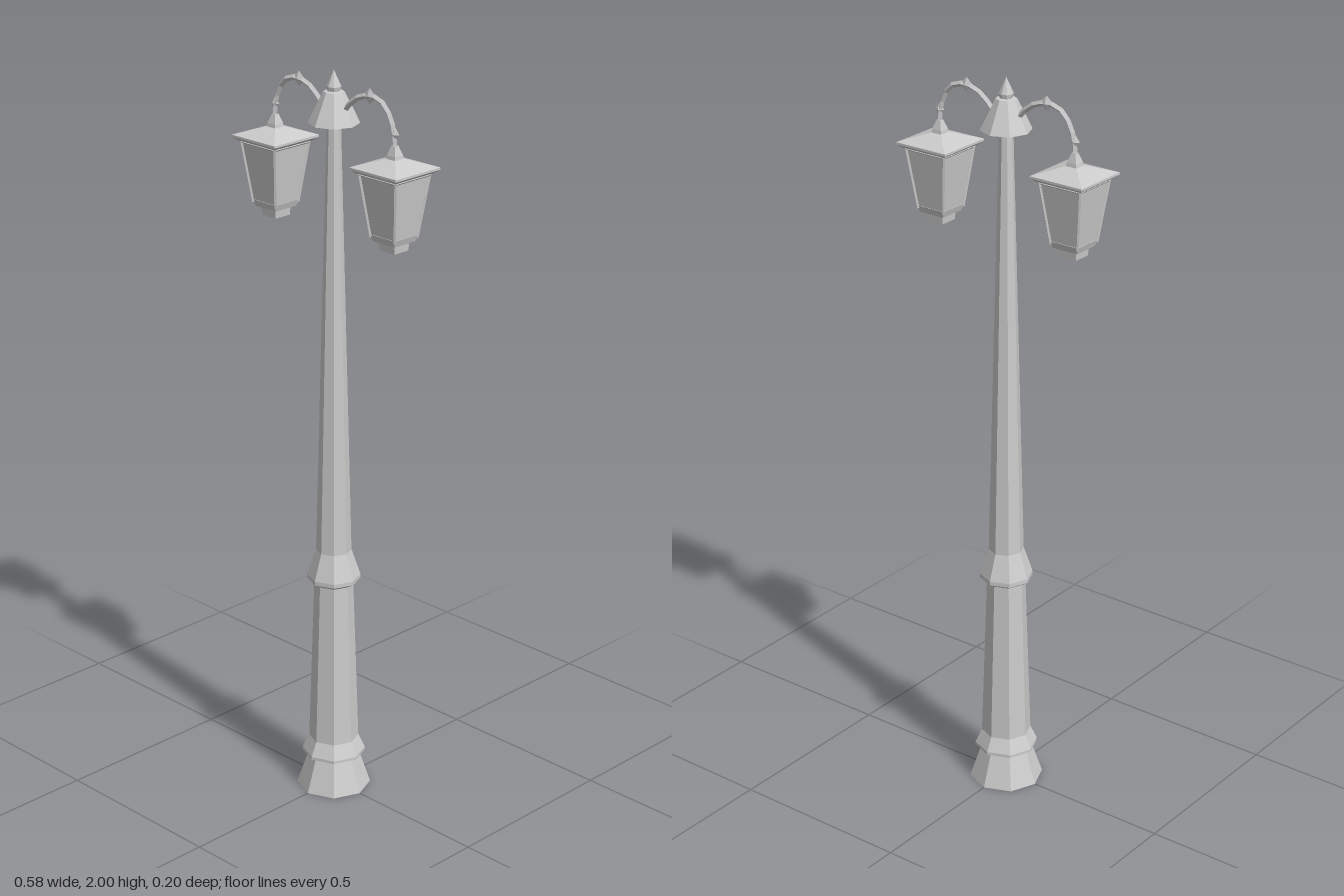
import * as THREE from 'three';

const metal = new THREE.MeshStandardMaterial({ color: 0xcccccc, flatShading: true, side: THREE.DoubleSide });

function add(parent, name, geometry) {
  const mesh = new THREE.Mesh(geometry, metal);
  mesh.name = name;
  parent.add(mesh);
  return mesh;
}

// Octagonal section from [radius, y] pairs, listed bottom to top
function octagonal(profile) {
  return new THREE.LatheGeometry(profile.map(([r, y]) => new THREE.Vector2(r, y)), 8);
}

// Square section from [half width, y] pairs, listed bottom to top
function square(profile) {
  const points = profile.map(([h, y]) => new THREE.Vector2(h * Math.SQRT2, y));
  return new THREE.LatheGeometry(points, 4, Math.PI / 4);
}

// Thin four-sided bar between two points
function bar(a, b, radius) {
  return new THREE.TubeGeometry(new THREE.LineCurve3(a, b), 1, radius, 4);
}

function createLantern() {
  const lantern = new THREE.Group();
  lantern.name = 'lantern';

  add(lantern, 'lanternFoot', square([[0, 1.58], [0.025, 1.58], [0.027, 1.605], [0.037, 1.608]]));
  add(lantern, 'lanternTray', square([[0, 1.604], [0.037, 1.604], [0.043, 1.622], [0, 1.622]]));
  add(lantern, 'glass', square([[0.041, 1.62], [0.061, 1.78]]));

  // Corner posts and the top and bottom rails of the glass
  const corners = [[1, 1], [1, -1], [-1, -1], [-1, 1]];
  const at = ([x, z], h, y) => new THREE.Vector3(x * h, y, z * h);
  corners.forEach((corner, i) => {
    const next = corners[(i + 1) % 4];
    add(lantern, 'cornerPost', bar(at(corner, 0.041, 1.615), at(corner, 0.062, 1.782), 0.004));
    add(lantern, 'topRail', bar(at(corner, 0.061, 1.775), at(next, 0.061, 1.775), 0.004));
  });

  // Pyramid roof with a thin eave and a socket for the arm
  add(lantern, 'roof', square([
    [0, 1.778], [0.067, 1.778], [0.079, 1.787], [0.079, 1.793], [0.016, 1.815], [0, 1.815],
  ]));
  add(lantern, 'socket', square([[0.016, 1.812], [0.014, 1.824], [0.006, 1.848], [0, 1.85]]));
  return lantern;
}

function createArm() {
  const arm = new THREE.Group();
  arm.name = 'arm';

  // Curved bracket from the cap to the lantern
  const path = new THREE.CatmullRomCurve3([
    [0.038, 1.905], [0.06, 1.927], [0.09, 1.948], [0.125, 1.956],
    [0.16, 1.952], [0.19, 1.925], [0.207, 1.885], [0.212, 1.84],
  ].map(([x, y]) => new THREE.Vector3(x, y, 0)));
  add(arm, 'bracket', new THREE.TubeGeometry(path, 9, 0.0075, 4));

  // Diamond knobs on the bracket
  const knob = add(arm, 'upperKnob', new THREE.OctahedronGeometry(1));
  knob.scale.set(0.022, 0.02, 0.009);
  knob.position.set(0.124, 1.956, 0);
  const lower = add(arm, 'lowerKnob', new THREE.OctahedronGeometry(1));
  lower.scale.set(0.015, 0.019, 0.009);
  lower.position.set(0.211, 1.876, 0);

  const lantern = createLantern();
  lantern.position.x = 0.211;
  arm.add(lantern);
  return arm;
}

export function createModel() {
  const model = new THREE.Group();
  model.name = 'streetLamp';

  add(model, 'base', octagonal([
    [0, 0], [0.1, 0], [0.07, 0.09], [0.085, 0.098], [0.085, 0.106], [0.067, 0.145],
  ]));
  add(model, 'lowerColumn', octagonal([[0.067, 0.145], [0.052, 0.605]]));
  add(model, 'collar', octagonal([
    [0.052, 0.605], [0.071, 0.617], [0.071, 0.628], [0.047, 0.7],
  ]));
  add(model, 'upperColumn', octagonal([[0.047, 0.7], [0.018, 1.87]]));

  // Bell-shaped cap with a pointed finial
  add(model, 'cap', octagonal([[0, 1.865], [0.066, 1.865], [0.058, 1.882], [0.027, 1.945], [0, 1.95]]));
  add(model, 'finial', octagonal([[0.016, 1.945], [0.019, 1.958], [0, 2]]));

  // Matching arms on both sides
  for (const turn of [0, Math.PI]) {
    const arm = createArm();
    arm.rotation.y = turn;
    model.add(arm);
  }
  return model;
}
